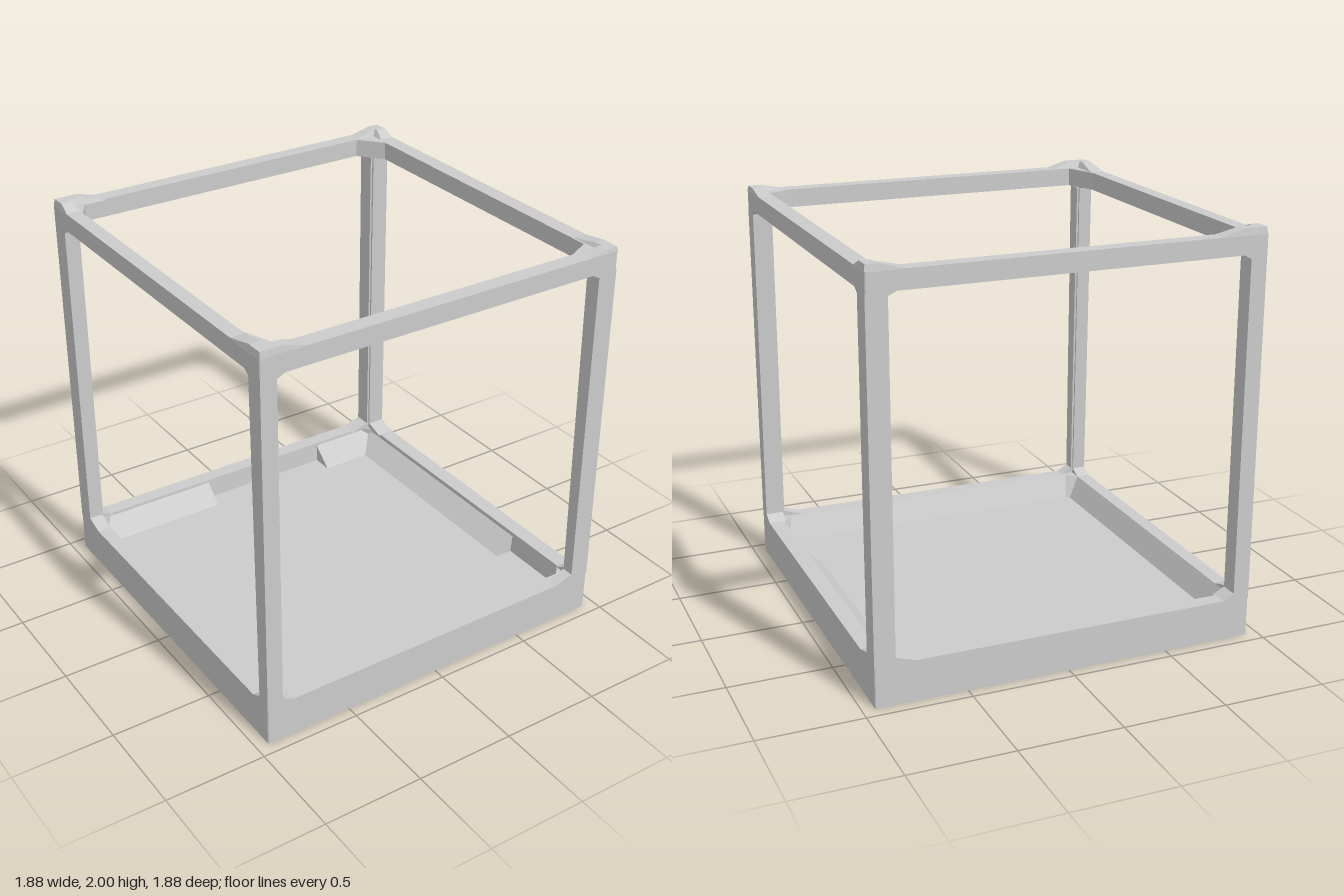
import * as THREE from 'three';

const material = new THREE.MeshStandardMaterial({ color: 0xcccccc, flatShading: true });

function addMesh(parent, name, geometry) {
  const mesh = new THREE.Mesh(geometry, material);
  mesh.name = name;
  parent.add(mesh);
  return mesh;
}

// Skin a list of equal-length loops of [x, y, z], optionally closing the ends.
function loft(rings, capStart, capEnd) {
  const out = [];
  const n = rings[0].length;
  const tri = (a, b, c) => out.push(...a, ...b, ...c);
  for (let r = 0; r < rings.length - 1; r++) {
    const a = rings[r], b = rings[r + 1];
    for (let i = 0; i < n; i++) {
      const j = (i + 1) % n;
      tri(a[i], a[j], b[j]);
      tri(a[i], b[j], b[i]);
    }
  }
  const first = rings[0], last = rings[rings.length - 1];
  for (let i = 1; i < n - 1; i++) {
    if (capStart) tri(first[0], first[i + 1], first[i]);
    if (capEnd) tri(last[0], last[i], last[i + 1]);
  }
  const geometry = new THREE.BufferGeometry();
  geometry.setAttribute('position', new THREE.Float32BufferAttribute(out, 3));
  geometry.computeVertexNormals();
  return geometry;
}

// Rectangle with cut corners; cuts are [dx, dz] for front -x, front +x, back +x, back -x.
function cutRect(y, x0, x1, z0, z1, cuts) {
  const [a, b, c, d] = cuts;
  return [
    [x0, y, z1 - a[1]], [x0 + a[0], y, z1],
    [x1 - b[0], y, z1], [x1, y, z1 - b[1]],
    [x1, y, z0 + c[1]], [x1 - c[0], y, z0],
    [x0 + d[0], y, z0], [x0, y, z0 + d[1]],
  ];
}

// Corner outline: two arms reach along the sides from the outer corner, w is the arm's inner face.
function cornerRing(sx, sz, y, reachX, reachZ, wx, wz, outer = 0.94) {
  const p = [
    [outer, outer], [reachX, outer], [reachX, wz],
    [wx, wz], [wx, reachZ], [outer, reachZ],
  ].map(([x, z]) => [sx * x, y, sz * z]);
  return sx * sz > 0 ? [p[0], ...p.slice(1).reverse()] : p;
}

// Triangular fillet between floor and wall, running along z.
function fillet(foot, length) {
  const shape = new THREE.Shape([
    new THREE.Vector2(foot, 0.08), new THREE.Vector2(0.87, 0.08), new THREE.Vector2(0.87, 0.19),
  ]);
  return new THREE.ExtrudeGeometry(shape, { depth: length, bevelEnabled: false });
}

export function createModel() {
  const model = new THREE.Group();
  model.name = 'openFrameBox';
  const outerCuts = Array(4).fill([0.005, 0.005]);

  // Tray with sloping front and side walls and a recessed floor
  const trayCuts = Array(4).fill([0.05, 0.05]);
  addMesh(model, 'tray', loft([
    cutRect(0, -0.94, 0.94, -0.94, 0.94, outerCuts),
    cutRect(0.2, -0.94, 0.94, -0.94, 0.94, outerCuts),
    cutRect(0.2, -0.87, 0.86, -0.865, 0.86, trayCuts),
    cutRect(0.09, -0.81, 0.85, -0.86, 0.8, Array(4).fill([0.02, 0.02])),
  ], true, true));

  // Fillets inside the tray
  addMesh(model, 'sideFillet', fillet(0.75, 1.33)).position.z = -0.87;
  for (const [name, foot, x, length] of [
    ['backFilletRight', 0.76, -0.85, 0.64],
    ['backFilletLeft', 0.74, 0.5, 0.37],
  ]) {
    const mesh = addMesh(model, name, fillet(foot, length));
    mesh.rotation.y = Math.PI / 2;
    mesh.position.x = x;
  }

  // Top rim with gusseted inner corners
  const rimCuts = [[0.06, 0.17], [0.12, 0.06], [0.1, 0.12], [0.06, 0.1]];
  const rimOuter = (y) => cutRect(y, -0.94, 0.94, -0.945, 0.94, outerCuts);
  const rimInner = (y) => cutRect(y, -0.87, 0.86, -0.87, 0.86, rimCuts);
  addMesh(model, 'topRim', loft(
    [rimOuter(1.88), rimOuter(1.97), rimInner(1.97), rimInner(1.88), rimOuter(1.88)], false, false));

  // Corner posts with flared ends, and raised caps above them
  for (const sx of [-1, 1]) {
    for (const sz of [-1, 1]) {
      const ix = sx < 0 ? 0.86 : 0.84;
      const izLow = sz < 0 ? 0.84 : 0.87;
      const izHigh = sz < 0 ? 0.84 : 0.85;
      const flareX = sx < 0 ? 0.06 : 0.1;
      const flareZ = sz > 0 ? 0.06 : 0.1;
      const label = (sz > 0 ? 'front' : 'back') + (sx > 0 ? 'Left' : 'Right');
      const ring = (y, iz, fx, fz) =>
        cornerRing(sx, sz, y, ix - fx, iz - fz, ix + 0.01, iz + 0.01);
      addMesh(model, label + 'Post', loft([
        ring(0.198, izLow, flareX, flareZ),
        ring(0.23, izLow, 0, 0),
        ring(1.86, izHigh, 0, 0),
        ring(1.885, izHigh, 0.05, 0.04),
      ], true, true));

      const footX = sx < 0 ? 0.7 : 0.75, footZ = sz > 0 ? 0.69 : 0.79;
      const topX = sx < 0 ? 0.82 : 0.88, topZ = sz > 0 ? 0.85 : 0.86;
      const top = sx < 0 || sz < 0 ? 2 : 1.99;
      addMesh(model, label + 'Cap', loft([
        cornerRing(sx, sz, 1.965, footX, footZ, 0.865, 0.865),
        cornerRing(sx, sz, top, topX, topZ, 0.885, 0.885, 0.935),
      ], true, true));
    }
  }
  return model;
}
